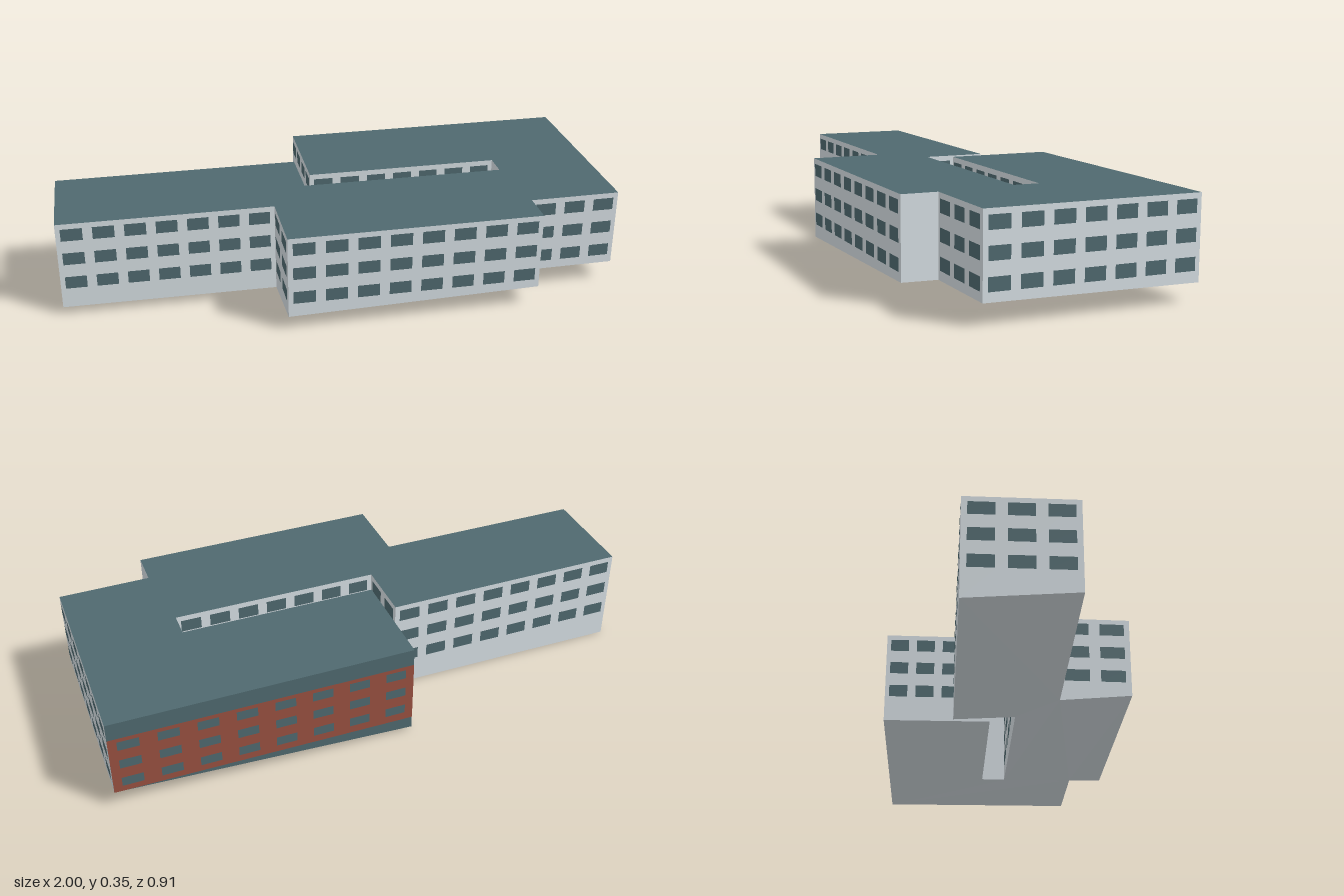
import * as THREE from 'three';
import { mergeGeometries } from 'three/addons/utils/BufferGeometryUtils.js';

const material = (name, color) => {
  const m = new THREE.MeshStandardMaterial({ color });
  m.name = name;
  return m;
};

const TOP = 0.35;

// Outline of the building: x, z, height of the sloping ground line,
// and the facade type of the wall that runs to the next corner
const corners = [
  [-1.0, 0.11, 0.03, 'windows'],
  [-0.25, 0.15, 0.028, 'windows'],
  [-0.26, 0.405, 0.053, 'windows'],
  [0.63, 0.45, 0.073, 'plain'],
  [0.637, 0.325, 0.071, 'windows'],
  [0.96, 0.34, 0.072, 'windows'],
  [1.0, -0.4, 0.065, 'brick'],
  [-0.05, -0.455, 0.01, 'windows'],
  [-0.07, -0.077, 0.013, 'windows'],
  [0.627, -0.04, 0.057, 'plain'],
  [0.622, 0.05, 0.057, 'windows'],
  [-0.11, 0.01, 0.018, 'windows'],
  [-0.1, -0.21, 0.003, 'windows'],
  [-0.98, -0.255, 0, 'windows'],
];

// Flat panel from 2D points, in a wall's own plane
function panel(points, offset = 0) {
  const shape = new THREE.Shape(points.map(([x, y]) => new THREE.Vector2(x, y)));
  return new THREE.ShapeGeometry(shape).translate(0, 0, offset);
}

// Rows of evenly spaced windows along a wall
function windowGrid(length, { rows, pitch, fill, height, offset }) {
  const count = Math.max(1, Math.round(length / pitch));
  const step = length / count;
  const panes = [];
  for (const y of rows) {
    for (let i = 0; i < count; i++) {
      panes.push(new THREE.PlaneGeometry(step * fill, height)
        .translate((i + 0.5) * step, y, offset));
    }
  }
  return mergeGeometries(panes);
}

const paleGrid = { rows: [0.309, 0.218, 0.126], pitch: 0.107, fill: 0.69, height: 0.045, offset: 0.0015 };
const brickGrid = { rows: [0.257, 0.181, 0.105], pitch: 0.131, fill: 0.55, height: 0.035, offset: 0.003 };

// Horizontal cap over the whole outline, facing up or down
function cap(heightOf, up) {
  const outline = corners.map(([x, z]) => new THREE.Vector2(x, z));
  const index = [];
  for (const [a, b, c] of THREE.ShapeUtils.triangulateShape(outline, [])) {
    const [p, q, r] = [outline[a], outline[b], outline[c]];
    const facesUp = (q.x - p.x) * (r.y - p.y) - (q.y - p.y) * (r.x - p.x) < 0;
    index.push(...(facesUp === up ? [a, b, c] : [a, c, b]));
  }
  const g = new THREE.BufferGeometry();
  const positions = corners.flatMap((c) => [c[0], heightOf(c), c[1]]);
  g.setAttribute('position', new THREE.Float32BufferAttribute(positions, 3));
  g.setIndex(index);
  const flat = g.toNonIndexed();
  flat.computeVertexNormals();
  return flat;
}

export function createModel() {
  const pale = material('pale wall', 0xd6dee3);
  const slate = material('slate', 0x4f696f);
  const brick = material('brick red', 0x985040);

  const building = new THREE.Group();
  building.name = 'building';
  const add = (parent, name, geometry, mat) => {
    const mesh = new THREE.Mesh(geometry, mat);
    mesh.name = name;
    parent.add(mesh);
  };

  add(building, 'roof', cap(() => TOP, true), slate);
  add(building, 'underside', cap((c) => c[2], false), pale);

  // Walls, each in a group that turns +x along the wall and +z outward
  corners.forEach(([x, z, low, type], i) => {
    const [x2, z2, low2] = corners[(i + 1) % corners.length];
    const length = Math.hypot(x2 - x, z2 - z);
    const side = new THREE.Group();
    side.name = `facade${i + 1}`;
    side.position.set(x, 0, z);
    side.rotation.y = Math.atan2(z - z2, x2 - x);
    building.add(side);

    const outline = [[0, low], [length, low2], [length, TOP], [0, TOP]];
    add(side, 'wall', panel(outline), type === 'brick' ? slate : pale);

    if (type === 'windows') {
      add(side, 'windows', windowGrid(length, paleGrid), slate);
    } else if (type === 'brick') {
      // Brick field between a slate parapet and a slate plinth
      const field = [[0, 0.065], [length, 0.056], [length, 0.288], [0, 0.288]];
      add(side, 'brickField', panel(field, 0.0015), brick);
      add(side, 'windows', windowGrid(length, brickGrid), slate);
    }
  });

  return building;
}
